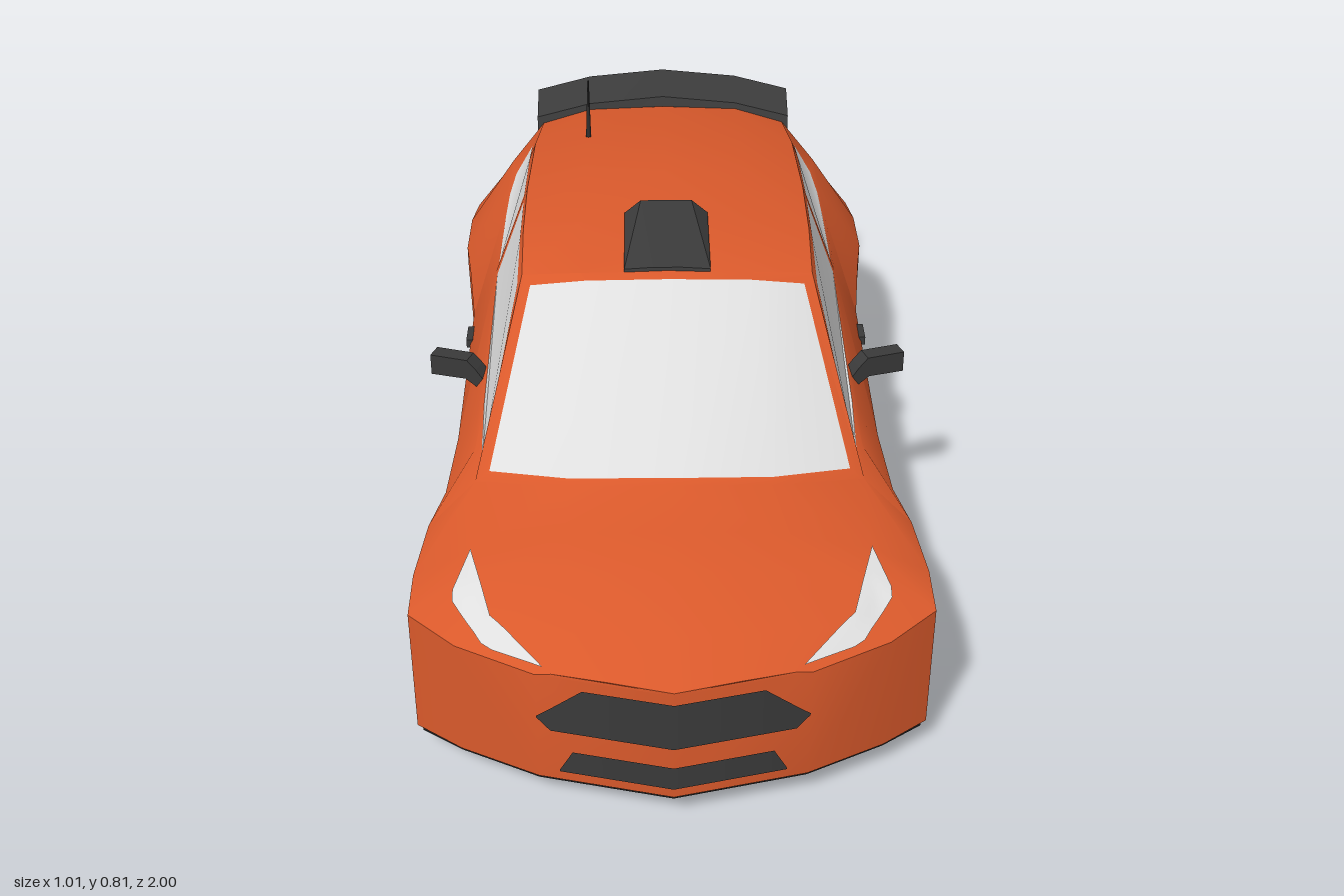
import * as THREE from 'three';
import { toCreasedNormals } from 'three/addons/utils/BufferGeometryUtils.js';
import { ConvexGeometry } from 'three/addons/geometries/ConvexGeometry.js';

const material = (name, color) =>
  new THREE.MeshStandardMaterial({ name, color, side: THREE.DoubleSide });
const V = (p) => new THREE.Vector3(...p);
const lerp = (a, b, t) => a.map((v, i) => v + (b[i] - v) * t);
const flip = ([x, y, z]) => [-x, y, z];

// Triangle lists: a grid of points, a frame between two loops, a filled loop, a mirrored copy
function patch(cols) {
  const out = [];
  for (let i = 0; i < cols.length - 1; i++)
    for (let j = 0; j < cols[i].length - 1; j++) {
      const a = cols[i][j], b = cols[i + 1][j], c = cols[i + 1][j + 1], d = cols[i][j + 1];
      out.push([a, b, c], [a, c, d]);
    }
  return out;
}
const frame = (outer, inner) =>
  patch([...outer.keys(), 0].map((i) => [outer[i], inner[i]]));
const fan = (loop) => loop.slice(1, -1).map((p, i) => [loop[0], p, loop[i + 2]]);
const both = (tris) => [...tris, ...tris.map((t) => t.map(flip).reverse())];
// A half row (outside to centre) completed to the other side
const fullRow = (half) => [...half.map(flip), ...half.slice(0, -1).reverse()];

function surface(name, tris, mat, crease = 0.5) {
  const solid = tris.filter((t) => {
    const [a, b, c] = t.map(V);
    return b.sub(a).cross(c.sub(a)).length() > 1e-7;
  });
  const geo = new THREE.BufferGeometry();
  geo.setAttribute('position', new THREE.Float32BufferAttribute(solid.flat(2), 3));
  const mesh = new THREE.Mesh(toCreasedNormals(geo, crease), mat);
  mesh.name = name;
  return mesh;
}

// Body stations from nose to tail: x, z, lower edge, waist height, belt x, y, z
const stations = [
  [0, 1, .065, .31, 0, .314, 1], [.25, .94, .065, .31, .22, .315, .945],
  [.40, .865, .065, .315, .33, .345, .85], [.49, .80, .065, .335, .37, .37, .76],
  [.49, .80, .21, .335, .37, .37, .76], [.49, .695, .325, .345, .38, .39, .68],
  [.475, .545, .325, .35, .385, .41, .48], [.45, .44, .21, .355, .392, .42, .38],
  [.45, .44, .06, .355, .392, .42, .38], [.44, .25, .06, .36, .395, .43, .25],
  [.445, -.26, .055, .365, .39, .473, -.26], [.47, -.475, .055, .37, .385, .505, -.475],
  [.47, -.475, .21, .37, .385, .505, -.475], [.485, -.58, .325, .37, .38, .52, -.58],
  [.485, -.73, .325, .37, .37, .55, -.70], [.475, -.835, .21, .36, .375, .50, -.80],
  [.475, -.835, .11, .36, .375, .50, -.80], [.26, -.955, .17, .36, .25, .465, -.925],
  [0, -.968, .17, .36, 0, .465, -.935],
];
const belt = (i) => stations[i].slice(4);

export function createModel() {
  const car = new THREE.Group();
  car.name = 'rallyHatchback';
  const paint = material('orange paint', 0xd9592b);
  const glass = material('pale glass', 0xdedede);
  const red = material('red lamp', 0xe01010);
  const trim = material('dark grey trim', 0x3a3a3a);
  const liner = material('charcoal liner', 0x2a2a2a);
  const black = material('black underside', 0x1b1b1b);
  const add = (mesh, name) => { if (name) mesh.name = name; car.add(mesh); return mesh; };
  const part = (name, geo, mat, x = 0, y = 0, z = 0, parent = car) => {
    const m = new THREE.Mesh(geo, mat);
    m.name = name;
    m.position.set(x, y, z);
    parent.add(m);
    return m;
  };

  // Lower walls and bonnet
  const walls = patch(stations.map(([x, z, yb, yw, ...b]) => [[x, yb, z], [x, yw, z], b]));
  const bonnet = patch([
    [belt(0), [0, .315, 1], [0, .315, 1]],
    [belt(1), [.12, .318, .972], [0, .32, .99]],
    [belt(2), [.18, .36, .89], [0, .365, .91]],
    [belt(3), [.19, .405, .77], [0, .415, .78]],
    [belt(5), [.2, .43, .68], [0, .437, .69]],
    [belt(6), [.2, .45, .555], [0, .456, .565]],
  ]);

  // Roof: edge rail, quarter line, centre line
  const roof = [
    [[.305, .65, .07], [.18, .67, .1], [0, .675, .105]],
    [[.31, .67, -.1], [.18, .69, -.1], [0, .70, -.1]],
    [[.31, .68, -.28], [.18, .705, -.29], [0, .71, -.3]],
    [[.305, .665, -.55], [.18, .687, -.55], [0, .695, -.55]],
    [[.295, .63, -.745], [.18, .655, -.77], [0, .66, -.775]],
  ];
  const rail = (i) => roof[i][0];

  // Windscreen
  const screenLow = fullRow([belt(6), [.2, .45, .555], [0, .456, .565]]);
  const screenTop = fullRow(roof[0]);
  const glassLow = fullRow([[.357, .428, .47], [.2, .458, .54], [0, .464, .55]]);
  const glassTop = fullRow([[.287, .638, .094], [.17, .661, .117], [0, .666, .122]]);
  const screenFrame = frame([...screenLow, ...screenTop.slice().reverse()],
    [...glassLow, ...glassTop.slice().reverse()]);
  const screen = patch(glassLow.map((p, i) => [p, glassTop[i]]));

  // Tailgate and rear window
  const gateLow = fullRow([belt(17), [.12, .465, -.93], belt(18)]).reverse();
  const gateTop = fullRow(roof[4]).reverse();
  const inset = (t) => gateLow.map((p, i) => {
    const [x, y, z] = lerp(p, gateTop[i], t);
    return [x * .88, y, z];
  });
  const rearLow = inset(.06), rearTop = inset(.86);
  const gateFrame = frame([...gateLow, ...gateTop.slice().reverse()],
    [...rearLow, ...rearTop.slice().reverse()]);
  const rearGlass = patch(rearLow.map((p, i) => [p, rearTop[i]]));

  // Side windows and their frames
  const frontWindow = [[.374, .424, .43], [.378, .428, .38], [.382, .443, .25],
    [.384, .482, -.24], [.318, .658, -.255], [.318, .65, -.1], [.315, .632, .08]];
  const backWindow = [[.382, .49, -.28], [.377, .512, -.475], [.372, .527, -.56],
    [.36, .545, -.635], [.32, .605, -.665], [.318, .64, -.52], [.319, .655, -.295]];
  const sides = [
    ...frame([belt(6), belt(7), belt(9), belt(10), rail(2), rail(1), rail(0)], frontWindow),
    ...frame([belt(10), belt(11), belt(13), belt(14), rail(4), rail(3), rail(2)], backWindow),
  ];

  // Tail lamps wrap the rear corner
  const lampTop = lerp(rail(4), belt(17), .5);
  const corner = [[rail(4), belt(14), lampTop]];
  add(surface('tailLamps',
    both(fan([belt(14), belt(15), belt(17), lampTop])), red));

  const shell = add(surface('bodyShell', [
    ...both([...walls, ...bonnet, ...patch(roof), ...sides, ...corner]),
    ...screenFrame, ...gateFrame], paint));
  add(surface('windscreen', screen, glass));
  add(surface('rearWindow', rearGlass, glass));
  add(surface('sideWindows', both([...fan(frontWindow), ...fan(backWindow)]), glass));

  // Headlamps laid onto the bonnet surface
  const ray = new THREE.Raycaster();
  const along = (pts, t) => {
    const s = Math.min(t * (pts.length - 1), pts.length - 1.001), i = Math.floor(s);
    return lerp(pts[i], pts[i + 1], s - i);
  };
  const innerEdge = [[.235, .935], [.335, .83], [.38, .68]];
  const outerEdge = [[.235, .935], [.345, .882], [.413, .78], [.38, .68]];
  const lampCols = Array.from({ length: 15 }, (_, i) => Array.from({ length: 6 }, (_, j) => {
    const [x, z] = lerp(along(outerEdge, i / 14), along(innerEdge, i / 14), j / 5);
    ray.set(V([x, 1, z]), V([0, -1, 0]));
    const hit = ray.intersectObject(shell)[0];
    return [x, (hit ? hit.point.y : .31) + .006, z];
  }));
  add(surface('headlamps', both(patch(lampCols)), glass));

  // Grilles on the nose: half columns of x, low y, high y
  const grille = (name, cols) => add(surface(name, both(patch(cols.map(([x, lo, hi]) => {
    const z = 1.004 - .24 * x;
    return [[x, lo, z], [x, hi, z]];
  }))), trim));
  grille('upperGrille', [[0, .185, .29], [.165, .185, .29], [.225, .185, .237], [.25, .212, .216]]);
  grille('lowerGrille', [[0, .088, .14], [.185, .088, .14], [.21, .088, .092]]);

  // Wheel wells and rear bumper
  const wells = [4, 12].flatMap((s) => {
    const arch = stations.slice(s - 1, s + 5).map(([x, z, y]) => [x, y, z]);
    arch[5] = [arch[4][0], .06, arch[4][2]];
    const inner = arch.map(([, y, z]) => [.28, y, z]);
    return [...patch(arch.map((p, i) => [inner[i], p])), ...fan(inner)];
  });
  add(surface('wheelWells', both(wells), liner));
  add(surface('rearBumper', both(patch([
    [[.45, .055, -.835], [.475, .08, -.84], [.475, .11, -.835]],
    [[.25, .055, -.93], [.265, .12, -.975], [.26, .17, -.955]],
    [[0, .055, -.94], [0, .12, -.985], [0, .17, -.968]],
  ])), liner));

  // Flat underside with notches for the wheels
  const half = [[0, .99], [.25, .93], [.40, .855], [.48, .80], [.28, .80], [.28, .44], [.44, .44],
    [.43, .25], [.435, -.26], [.46, -.475], [.28, -.475], [.28, -.835], [.46, -.835], [.25, -.945], [0, -.955]];
  const plan = new THREE.Shape([...half, ...half.slice(1, -1).reverse().map(([x, z]) => [-x, z])]
    .map((p) => new THREE.Vector2(...p)));
  part('underside', new THREE.ExtrudeGeometry(plan, { depth: .014, bevelEnabled: false })
    .rotateX(Math.PI / 2), black, 0, .066);

  // Wheels
  const tyre = toCreasedNormals(new THREE.LatheGeometry(
    [[.1, -.05], [.137, -.05], [.155, -.03], [.155, .03], [.137, .05], [.112, .05], [.108, .01]]
      .map((p) => new THREE.Vector2(...p)), 12, Math.PI / 12).rotateZ(-Math.PI / 2), .4);
  const disc = new THREE.CylinderGeometry(.112, .112, .05, 16).rotateZ(Math.PI / 2);
  const rim = new THREE.TorusGeometry(.102, .009, 6, 20).rotateY(Math.PI / 2);
  const hub = new THREE.CylinderGeometry(.024, .028, .03, 10).rotateZ(-Math.PI / 2);
  const spoke = new THREE.BoxGeometry(.016, .09, .022).translate(0, .056, 0);
  for (const side of [1, -1])
    for (const z of [.62, -.655]) {
      const wheel = new THREE.Group();
      wheel.name = z > 0 ? 'frontWheel' : 'rearWheel';
      wheel.position.set(.385 * side, .15, z);
      if (side < 0) wheel.rotation.y = Math.PI;
      part('tyre', tyre, trim, 0, 0, 0, wheel);
      part('rimDisc', disc, liner, -.015, 0, 0, wheel);
      part('rimRing', rim, trim, .04, 0, 0, wheel);
      part('hub', hub, trim, .025, 0, 0, wheel);
      for (let i = 0; i < 5; i++)
        part('spoke', spoke, trim, .032, 0, 0, wheel).rotation.x = i * Math.PI * .4;
      car.add(wheel);
    }

  // Roof spoiler swept across the car, lower and further forward at its ends
  const blade = [[.645, -.775], [.68, -.79], [.718, -.872], [.675, -.866], [.64, -.81], [.645, -.775]];
  const ribs = [-.31, -.18, 0, .18, .31].map((x) => {
    const k = .037 * (x / .31) ** 2;
    return blade.map(([y, z]) => [x, y - k, z + k]);
  });
  add(surface('roofSpoiler',
    [...patch(ribs), ...fan(ribs[0]), ...fan(ribs[4])], trim, .3));

  // Roof vent
  const vent = [[.09, .665, .105], [.09, .678, .1], [.09, .70, -.115], [.055, .73, -.115], [.09, .66, -.14], [.03, .682, .1]];
  part('roofVent', new ConvexGeometry([...vent, ...vent.map(flip)].map(V)), trim);

  // Aerial
  const aerial = part('aerial', new THREE.CylinderGeometry(.002, .007, .135, 6), liner, -.178, .746, -.564);
  aerial.rotation.x = -.4;

  // Door mirrors, handles and exhaust pipes
  const mirrorShape = new THREE.Shape([[-.035, -.03], [-.015, -.04], [.02, -.018], [.1, -.022], [.1, .025],
    [.015, .028], [-.005, .008]].map((p) => new THREE.Vector2(...p)));
  const mirrorGeo = new THREE.ExtrudeGeometry(mirrorShape, { depth: .035, bevelEnabled: false })
    .translate(0, 0, -.017);
  for (const side of [1, -1]) {
    const pivot = new THREE.Group();
    pivot.name = 'doorMirror';
    pivot.position.set(.405 * side, .452, .125);
    pivot.rotation.y = side > 0 ? .35 : Math.PI - .35;
    part('mirrorHousing', mirrorGeo, trim, 0, 0, 0, pivot);
    car.add(pivot);
    part('doorHandle', new THREE.BoxGeometry(.02, .02, .06), trim, .442 * side, .366, -.155);
    part('exhaustPipe', new THREE.CylinderGeometry(.034, .034, .06, 10).rotateX(Math.PI / 2),
      trim, .19 * side, .127, -.97);
  }

  // Rear plate
  part('rearPlate', new THREE.BoxGeometry(.17, .075, .02), trim, 0, .385, -.961).rotation.x = .3;
  return car;
}
